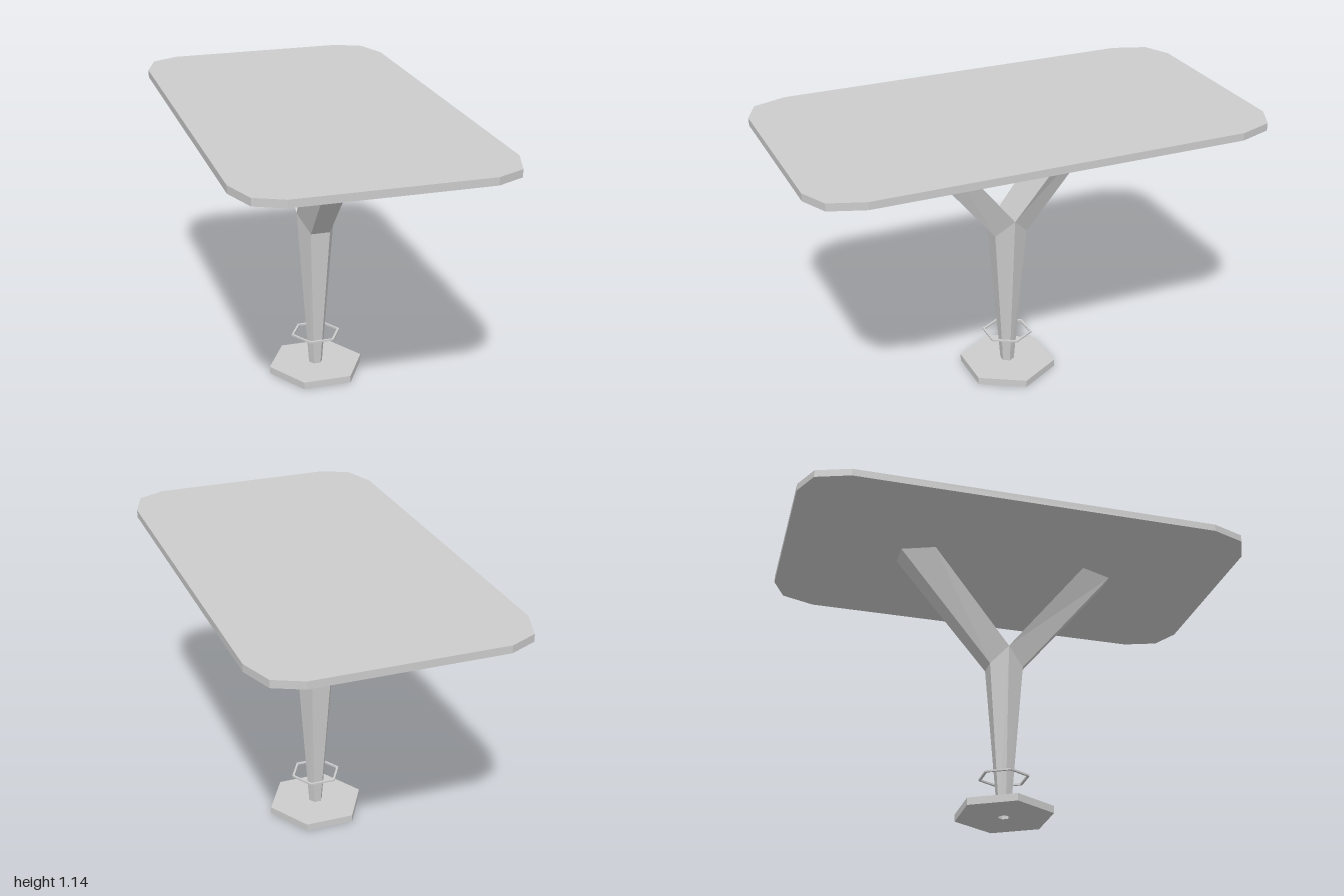
import * as THREE from 'three';

const material = new THREE.MeshStandardMaterial({ color: 0xcccccc, flatShading: true });
const doubleSided = new THREE.MeshStandardMaterial({ color: 0xcccccc, flatShading: true, side: THREE.DoubleSide });

// Points of a regular hexagon with corners on the x axis
const hexagon = (r) => Array.from({ length: 6 }, (_, i) =>
  new THREE.Vector2(r * Math.cos(i * Math.PI / 3), r * Math.sin(i * Math.PI / 3)));

// Horizontal plate from an outline in x and z, optionally with a hole
function plate(name, outline, bottom, height, hole) {
  const shape = new THREE.Shape(outline);
  if (hole) shape.holes.push(new THREE.Path(hole));
  const geometry = new THREE.ExtrudeGeometry(shape, { depth: height, bevelEnabled: false });
  geometry.rotateX(-Math.PI / 2).translate(0, bottom, 0);
  const mesh = new THREE.Mesh(geometry, material);
  mesh.name = name;
  return mesh;
}

// Faceted skin between a lower and an upper closed ring of [x, y, z] points
function loft(name, lower, upper, mat = material) {
  const positions = [];
  const n = lower.length;
  for (let i = 0; i < n; i++) {
    const j = (i + 1) % n;
    positions.push(...lower[i], ...upper[i], ...lower[j], ...lower[j], ...upper[i], ...upper[j]);
  }
  const geometry = new THREE.BufferGeometry();
  geometry.setAttribute('position', new THREE.Float32BufferAttribute(positions, 3));
  geometry.computeVertexNormals();
  const mesh = new THREE.Mesh(geometry, mat);
  mesh.name = name;
  return mesh;
}

export function createModel() {
  const table = new THREE.Group();
  table.name = 'table';
  const body = new THREE.Group();
  body.name = 'tableBody';
  body.rotation.y = -Math.PI / 6;
  table.add(body);

  // Table top with two-step clipped corners
  const corner = [[0.528, 0.74], [0.48, 0.876], [0.37, 0.927]];
  const outline = [];
  for (const [sx, sz] of [[1, 1], [-1, 1], [-1, -1], [1, -1]]) {
    const points = sx * sz > 0 ? corner : [...corner].reverse();
    for (const [x, z] of points) outline.push(new THREE.Vector2(sx * x, sz * z));
  }
  body.add(plate('tableTop', outline, 1.11, 0.03));

  // Hexagonal foot and the thin ring above it
  body.add(plate('foot', hexagon(0.2), 0, 0.03, hexagon(0.024)));
  body.add(plate('ring', hexagon(0.104), 0.161, 0.007, hexagon(0.094)));

  // Tapered stem, its two crotch corners reaching higher than the rest
  const stemBottom = hexagon(0.027).map((p) => [p.x, 0.01, p.y]);
  const stemTop = hexagon(0.08).map((p, i) => [p.x, i % 3 === 0 ? 0.71 : 0.64, p.y]);
  body.add(loft('stem', stemBottom, stemTop, doubleSided));

  // Two mirrored arms forming the fork
  const armBottom = stemTop.slice(0, 4);
  const armTop = [[0.104, 1.11, 0.32], [0.052, 1.11, 0.454], [-0.052, 1.11, 0.454], [-0.104, 1.11, 0.32]];
  ['frontArm', 'backArm'].forEach((name, i) => {
    const arm = loft(name, armBottom, armTop);
    arm.rotation.y = i * Math.PI;
    body.add(arm);
  });

  return table;
}
